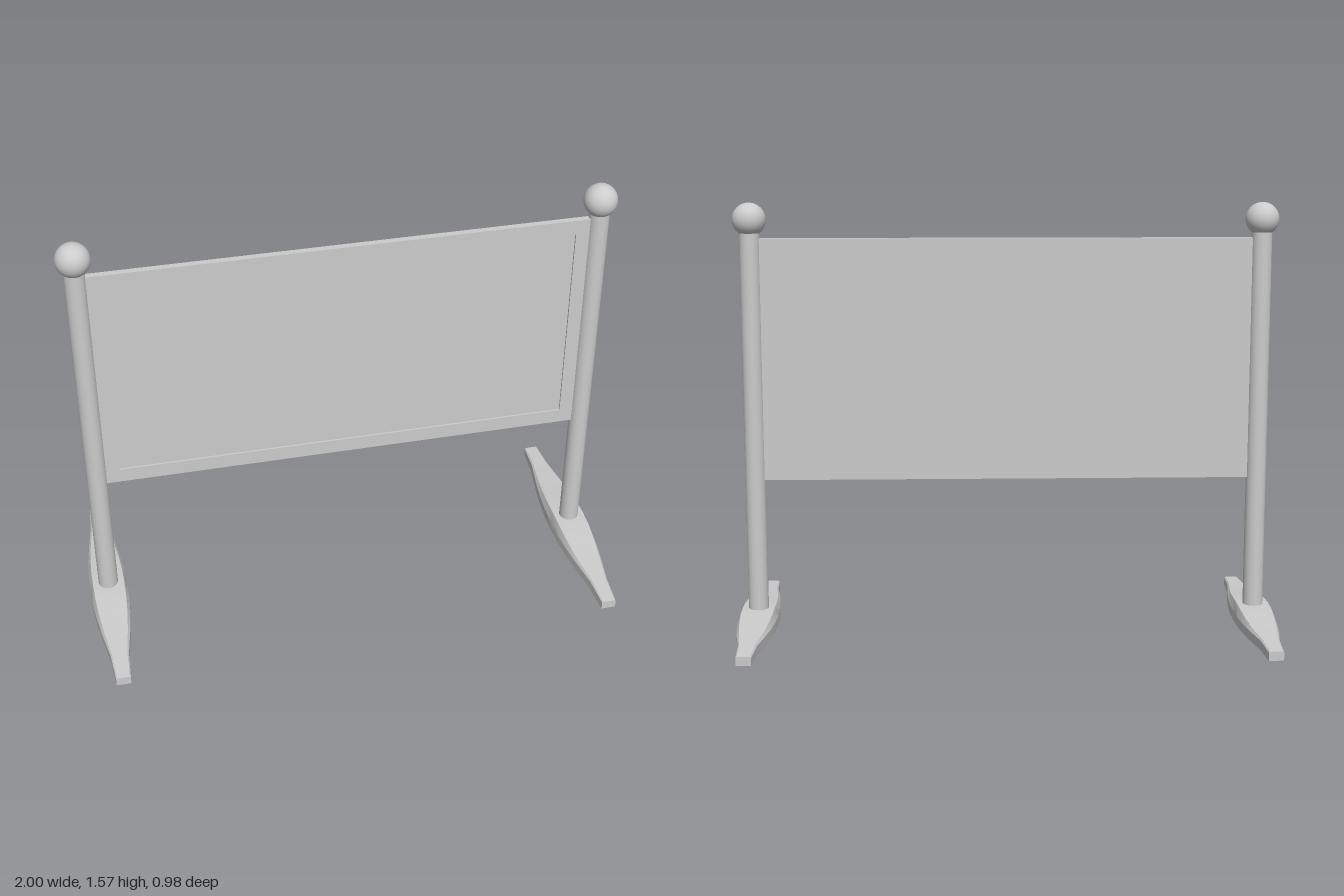
import * as THREE from 'three';
import { toCreasedNormals } from 'three/addons/utils/BufferGeometryUtils.js';

const material = new THREE.MeshStandardMaterial({ color: 0xcccccc });

function addMesh(parent, name, geometry, x = 0, y = 0, z = 0) {
  const mesh = new THREE.Mesh(geometry, material);
  mesh.name = name;
  mesh.position.set(x, y, z);
  parent.add(mesh);
  return mesh;
}

// Tapered foot: a chamfered cross-section lofted along z
function footGeometry() {
  // [z, half width, height] from the middle to the tip
  const half = [[0, 0.071, 0.067], [0.08, 0.07, 0.064], [0.16, 0.064, 0.056],
    [0.25, 0.053, 0.046], [0.37, 0.034, 0.04], [0.49, 0.027, 0.033]];
  const stations = [...half.slice(1).reverse().map(([z, w, h]) => [-z, w, h]), ...half];
  const positions = [], index = [], n = 6;
  for (const [z, w, h] of stations) {
    const shoulder = Math.min(0.034, h - 0.004), top = w - 0.16 * w;
    for (const [x, y] of [[-w, 0], [w, 0], [w, shoulder], [top, h], [-top, h], [-w, shoulder]]) {
      positions.push(x, y, z);
    }
  }
  for (let s = 0; s < stations.length - 1; s++) {
    for (let i = 0; i < n; i++) {
      const a = s * n + i, b = s * n + (i + 1) % n;
      index.push(a, b, b + n, a, b + n, a + n);
    }
  }
  // End caps
  const last = (stations.length - 1) * n;
  for (let i = 1; i < n - 1; i++) {
    index.push(0, i + 1, i, last, last + i, last + i + 1);
  }
  // The loft runs towards +z with counter-clockwise sections, so sides face outwards
  const geometry = new THREE.BufferGeometry();
  geometry.setAttribute('position', new THREE.Float32BufferAttribute(positions, 3));
  geometry.setIndex(index);
  return toCreasedNormals(geometry, 0.35);
}

function rectangle(path, x, y0, y1) {
  path.moveTo(-x, y0).lineTo(x, y0).lineTo(x, y1).lineTo(-x, y1).closePath();
  return path;
}

export function createModel() {
  const model = new THREE.Group();
  model.name = 'bannerStand';

  // Posts with ball finials and feet
  const postX = 0.928;
  const foot = footGeometry();
  const post = new THREE.CylinderGeometry(0.037, 0.037, 1.43, 32);
  const ball = new THREE.SphereGeometry(0.061, 32, 20);
  for (const [side, label] of [[1, 'left'], [-1, 'right']]) {
    const support = new THREE.Group();
    support.name = label + 'Support';
    support.position.x = side * postX;
    addMesh(support, 'foot', foot);
    addMesh(support, 'post', post, 0, 0.765, 0);
    addMesh(support, 'ballFinial', ball, 0, 1.51, 0);
    model.add(support);
  }

  // Board: backing panel with a raised border on the front
  const y0 = 0.555, y1 = 1.443;
  addMesh(model, 'panel', new THREE.BoxGeometry(1.8, y1 - y0, 0.017), 0, (y0 + y1) / 2, -0.0035);
  const border = rectangle(new THREE.Shape(), 0.9, y0, y1);
  border.holes.push(rectangle(new THREE.Path(), 0.843, 0.61, 1.387));
  addMesh(model, 'panelBorder',
    new THREE.ExtrudeGeometry(border, { depth: 0.007, bevelEnabled: false }), 0, 0, 0.005);

  return model;
}
